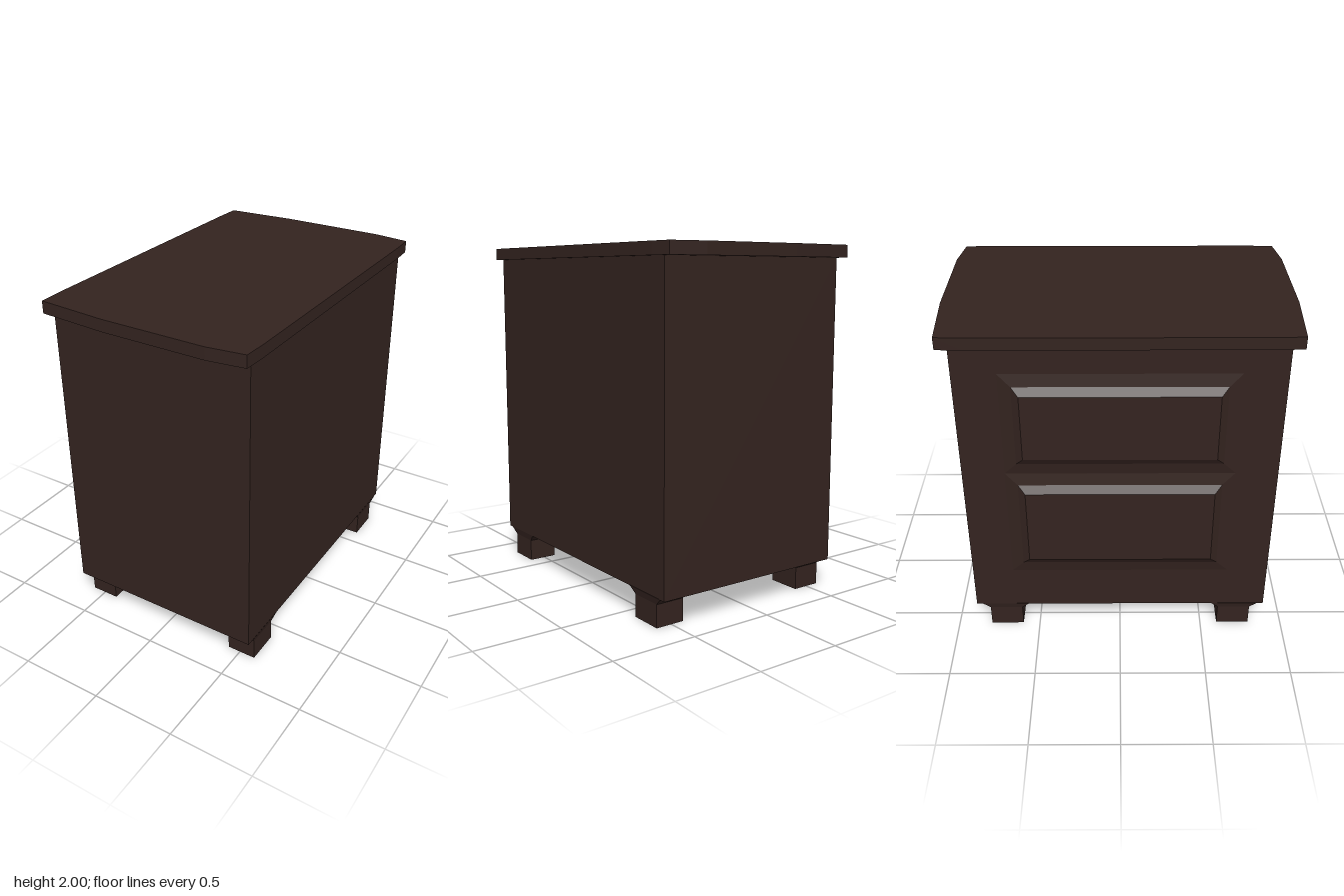
import * as THREE from 'three';

const wood = new THREE.MeshStandardMaterial({ color: 0x33231f, flatShading: true });

// Solid from stacked rectangles, each [halfX, halfZ, y], ordered from bottom to top
function stack(sections) {
  const rings = sections.map(([hx, hz, y]) => [[-hx, y, -hz], [-hx, y, hz], [hx, y, hz], [hx, y, -hz]]);
  const pos = [];
  const quad = (a, b, c, d) => pos.push(...a, ...b, ...c, ...a, ...c, ...d);
  for (let i = 0; i + 1 < rings.length; i++) {
    const lo = rings[i], hi = rings[i + 1];
    for (let k = 0; k < 4; k++) {
      const n = (k + 1) % 4;
      quad(lo[k], lo[n], hi[n], hi[k]);
    }
  }
  quad(...rings[rings.length - 1]);
  quad(...[...rings[0]].reverse());
  const geo = new THREE.BufferGeometry();
  geo.setAttribute('position', new THREE.Float32BufferAttribute(pos, 3));
  geo.computeVertexNormals();
  return geo;
}

export function createModel() {
  const model = new THREE.Group();
  model.name = 'cabinet';
  const add = (name, geo, x, y, z) => {
    const mesh = new THREE.Mesh(geo, wood);
    mesh.name = name;
    mesh.position.set(x, y, z);
    model.add(mesh);
    return mesh;
  };

  // Carcass
  add('body', new THREE.BoxGeometry(1.2, 1.76, 1.755), 0.005, 1.05, 0);

  // Overhanging top with gently bowed ends
  const half = [[0.628, 0.8], [0.622, 0.94], [0.41, 0.968], [-0.2, 0.968], [-0.613, 0.94], [-0.618, 0.8]];
  const outline = [...half, ...half.map(([x, z]) => [x, -z]).reverse()];
  const top = new THREE.ExtrudeGeometry(
    new THREE.Shape(outline.map(([x, z]) => new THREE.Vector2(x, z))),
    { depth: 0.07, bevelEnabled: false });
  top.rotateX(-Math.PI / 2);
  add('top', top, 0, 1.93, 0);

  // Raised drawer panels on the -x side: [name, centre height, half height of the flat field]
  for (const [name, y, h] of [['upperDrawer', 1.4675, 0.1975], ['lowerDrawer', 0.7975, 0.2375]]) {
    const geo = stack([[h + 0.117, 0.64, 0], [h + 0.045, 0.57, 0.012], [h, 0.53, 0.04]]);
    add(name, geo, -0.595, y, 0).rotation.z = Math.PI / 2;
  }

  // Square feet flaring out under the body
  const foot = stack([[0.086, 0.098, 0], [0.086, 0.098, 0.13], [0.097, 0.142, 0.172]]);
  for (const sx of [-1, 1]) {
    for (const sz of [-1, 1]) {
      const name = (sz > 0 ? 'front' : 'back') + (sx > 0 ? 'Left' : 'Right') + 'Foot';
      add(name, foot, 0.005 + sx * 0.504, 0, sz * 0.7);
    }
  }
  return model;
}
